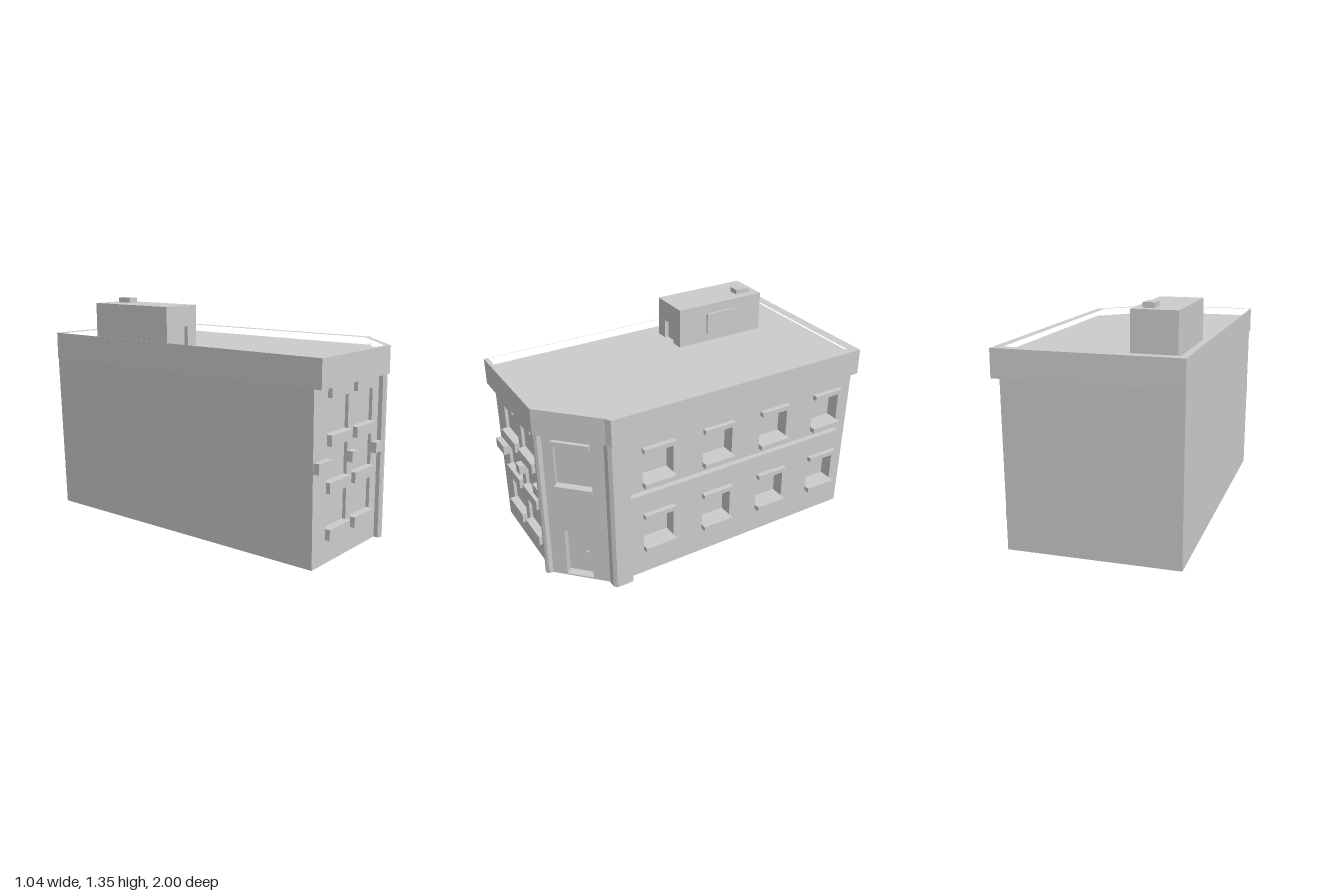
import * as THREE from 'three';

const material = new THREE.MeshStandardMaterial({ color: 0xcccccc, flatShading: true });

function add(parent, name, geometry) {
  const mesh = new THREE.Mesh(geometry, material);
  mesh.name = name;
  parent.add(mesh);
  return mesh;
}

// Box given by its limits on each axis
function box(parent, name, [x0, x1], [y0, y1], [z0, z1]) {
  const g = new THREE.BoxGeometry(x1 - x0, y1 - y0, z1 - z0);
  g.translate((x0 + x1) / 2, (y0 + y1) / 2, (z0 + z1) / 2);
  return add(parent, name, g);
}

const toPoints = (list) => list.map(([a, b]) => new THREE.Vector2(a, b));

// Upright prism from a floor plan of [x, z] points
function prism(parent, name, plan, y0, y1, hole) {
  const flip = (list) => toPoints(list.map(([x, z]) => [x, -z]));
  const shape = new THREE.Shape(flip(plan));
  if (hole) shape.holes.push(new THREE.Path(flip(hole)));
  const g = new THREE.ExtrudeGeometry(shape, { depth: y1 - y0, bevelEnabled: false });
  g.rotateX(-Math.PI / 2);
  g.translate(0, y0, 0);
  return add(parent, name, g);
}

// Wall slab whose outer face is at local z = 0, with openings [u0, u1, v0, v1]
function wall(parent, name, outline, thickness, openings) {
  const shape = new THREE.Shape(toPoints(outline));
  for (const [a, b, c, d] of openings) {
    shape.holes.push(new THREE.Path(toPoints([[a, c], [a, d], [b, d], [b, c]])));
  }
  const g = new THREE.ExtrudeGeometry(shape, { depth: thickness, bevelEnabled: false });
  g.translate(0, 0, -thickness);
  return add(parent, name, g);
}

function facade(parent, name, x, z, turn) {
  const group = new THREE.Group();
  group.name = name;
  group.position.set(x, 0, z);
  group.rotation.y = turn;
  parent.add(group);
  return group;
}

export function createModel() {
  const model = new THREE.Group();
  model.name = 'cornerBuilding';
  const wallTop = 1.0;

  // Inner block, its left and back walls leaning slightly outwards
  const core = prism(model, 'innerBlock',
    [[-0.51, -0.976], [0.39, -0.976], [0.39, 0.69], [0.145, 0.935], [-0.51, 0.935]], 0, wallTop);
  const p = core.geometry.attributes.position;
  for (let i = 0; i < p.count; i++) {
    if (p.getX(i) < -0.5) p.setX(i, p.getX(i) - 0.011 * p.getY(i));
    if (p.getZ(i) < -0.95) p.setZ(i, p.getZ(i) - 0.022 * p.getY(i));
  }
  core.geometry.computeVertexNormals();

  // Front facade: two tall bays, each with two windows
  const front = facade(model, 'frontFacade', 0, 0.955, 0);
  const frontOpenings = [];
  for (const u of [-0.385, -0.125]) {
    for (const [sill, head] of [[0.135, 0.39], [0.645, 0.9]]) {
      frontOpenings.push([u, u + 0.205, sill + 0.06, head]);
      box(front, 'frontSill', [u - 0.002, u + 0.207], [sill, sill + 0.06], [-0.01, 0.03]);
      box(front, 'frontLintel', [u - 0.002, u + 0.207], [head, head + 0.06], [-0.01, 0.025]);
    }
    // Recess between the storeys
    frontOpenings.push([u, u + 0.205, 0.45, 0.645]);
  }
  wall(front, 'frontWall', [[-0.51, 0], [0.195, 0], [0.195, wallTop], [-0.521, wallTop]],
    0.02, frontOpenings);
  for (const span of [[-0.513, -0.385], [-0.18, -0.125], [0.08, 0.155]]) {
    box(front, 'frontStringCourse', span, [0.52, 0.58], [-0.01, 0.035]);
  }

  // Side facade: two rows of four windows
  const side = facade(model, 'sideFacade', 0.47, 0, Math.PI / 2);
  const sideOpenings = [];
  for (let i = 0; i < 4; i++) {
    const u = -0.485 + i * 0.398;
    for (const [sill, head] of [[0.165, 0.395], [0.612, 0.838]]) {
      sideOpenings.push([u, u + 0.2, sill + 0.03, head]);
      box(side, 'sideSill', [u - 0.002, u + 0.202], [sill, sill + 0.03], [-0.01, 0.038]);
      box(side, 'sideLintel', [u - 0.002, u + 0.202], [head, head + 0.028], [-0.01, 0.03]);
    }
  }
  wall(side, 'sideWall', [[-0.68, 0], [0.976, 0], [0.998, wallTop], [-0.68, wallTop]],
    0.08, sideOpenings);
  box(side, 'sideStringCourse', [-0.59, 0.905], [0.515, 0.58], [-0.01, 0.035]);

  // Cut corner with the entrance door and a window above
  const corner = facade(model, 'entranceCorner', 0.3325, 0.8175, Math.PI / 4);
  wall(corner, 'entranceWall', [[-0.194, 0], [0.194, 0], [0.194, wallTop], [-0.194, wallTop]],
    0.05, [[-0.131, 0.081, 0.64, 0.9], [-0.103, 0.06, 0.01, 0.325]]);
  box(corner, 'entranceWindowPane', [-0.135, 0.085], [0.63, 0.91], [-0.049, -0.024]);
  box(corner, 'entranceSill', [-0.135, 0.085], [0.612, 0.64], [-0.01, 0.022]);
  box(corner, 'entranceLintel', [-0.135, 0.085], [0.9, 0.93], [-0.01, 0.022]);
  box(corner, 'doorKnob', [0.005, 0.022], [0.148, 0.164], [-0.055, -0.038]);

  // Pilasters at both ends of the cut corner
  prism(model, 'frontPilaster',
    [[0.15, 0.93], [0.15, 0.98], [0.165, 0.992], [0.18, 0.992], [0.195, 0.98], [0.195, 0.93]], 0, 0.97);
  prism(model, 'sidePilaster',
    [[0.44, 0.585], [0.513, 0.585], [0.513, 0.688], [0.494, 0.705], [0.45, 0.705]], 0, 0.97);

  // Cornice with roof deck, and the parapet around it
  const rim = [[-0.522, -1], [0.52, -1], [0.52, 0.69], [0.485, 0.708], [0.188, 1], [-0.522, 1]];
  const inner = [[-0.518, -0.938], [0.47, -0.938], [0.47, 0.68], [0.162, 0.975], [-0.518, 0.975]];
  prism(model, 'corniceAndRoofDeck', rim, 0.96, 1.07);
  prism(model, 'parapet', rim, 1.07, 1.12, inner);

  // Rooftop hut with doorway, side panel and vent
  const hut = facade(model, 'rooftopHut', 0, -0.135, 0);
  box(hut, 'hutBody', [-0.418, -0.158], [1.06, 1.315], [-0.6, -0.025]);
  wall(hut, 'hutFrontWall', [[-0.418, 1.06], [-0.158, 1.06], [-0.158, 1.315], [-0.418, 1.315]],
    0.025, [[-0.34, -0.235, 1.07, 1.19]]);
  box(hut, 'hutSidePanel', [-0.17, -0.146], [1.125, 1.255], [-0.395, -0.195]);
  box(hut, 'hutVent', [-0.275, -0.21], [1.31, 1.345], [-0.545, -0.45]);

  return model;
}
